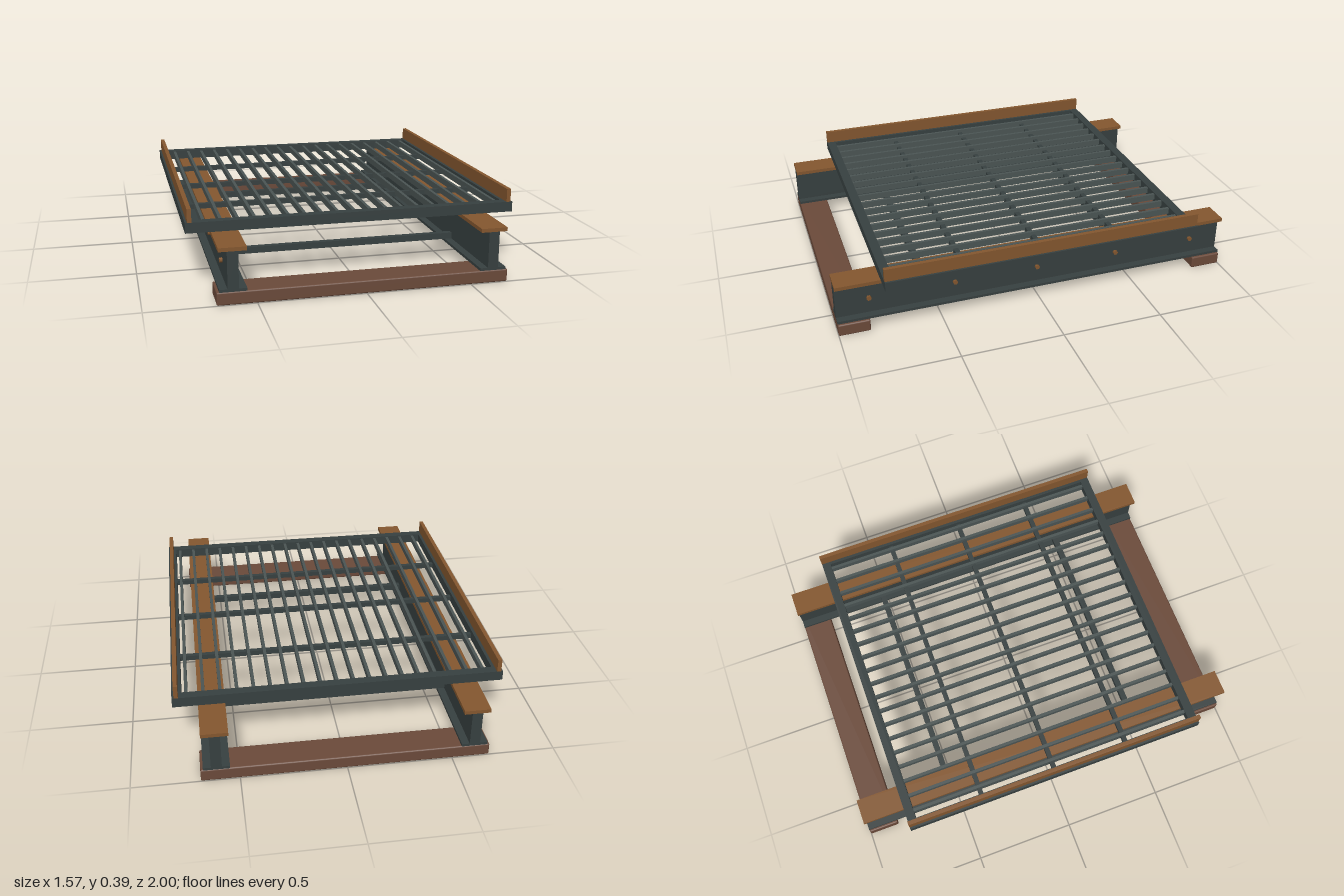
import * as THREE from 'three';
import { RoundedBoxGeometry } from 'three/addons/geometries/RoundedBoxGeometry.js';

const material = (name, color) => {
  const m = new THREE.MeshStandardMaterial({ color });
  m.name = name;
  return m;
};

export function createModel() {
  const steel = material('dark steel', 0x374040);
  const barSteel = material('worn bar steel', 0x4b5554);
  const rust = material('rust', 0x84572f);
  const wood = material('brown timber', 0x6b4a3a);

  const model = new THREE.Group();
  model.name = 'gratedPlatform';

  const add = (name, geometry, mat, x, y, z, parent = model) => {
    const mesh = new THREE.Mesh(geometry, mat);
    mesh.name = name;
    mesh.position.set(x, y, z);
    parent.add(mesh);
    return mesh;
  };
  // Box given by its x, y and z ranges
  const box = (name, mat, [x0, x1], [y0, y1], [z0, z1], parent) =>
    add(name, new THREE.BoxGeometry(x1 - x0, y1 - y0, z1 - z0), mat,
      (x0 + x1) / 2, (y0 + y1) / 2, (z0 + z1) / 2, parent);

  // Timber sleepers under both ends
  for (const s of [-1, 1])
    add('sleeper', new RoundedBoxGeometry(1.36, 0.061, 0.153, 2, 0.007), wood, 0, 0.0305, s * 0.9235);

  // Long girders with rusty top flange and bolts
  for (const s of [-1, 1]) {
    const girder = new THREE.Group();
    girder.name = s > 0 ? 'leftGirder' : 'rightGirder';
    girder.position.x = s * 0.606;
    model.add(girder);
    box('bottomFlange', steel, [-0.062, 0.062], [0.061, 0.074], [-1, 1], girder);
    box('web', steel, [-0.025, 0.025], [0.074, 0.246], [-1, 1], girder);
    box('topFlange', rust, [-0.063, 0.063], [0.246, 0.264], [-1, 1], girder);
    for (let i = -2; i <= 2; i++) {
      const bolt = add('bolt', new THREE.CylinderGeometry(0.012, 0.012, 0.016, 6), rust,
        s * 0.031, 0.156, i * 0.42, girder);
      bolt.rotation.z = Math.PI / 2;
    }
  }

  // Ties between the girders
  for (const s of [-1, 1])
    box('crossTie', steel, [-0.585, 0.585], [0.074, 0.105], [s * 0.525 - 0.015, s * 0.525 + 0.015]);

  // Deck frame
  const deck = new THREE.Group();
  deck.name = 'gratingDeck';
  model.add(deck);
  const frameY = [0.273, 0.322];
  box('frameFront', steel, [-0.787, 0.787], frameY, [0.742, 0.787], deck);
  box('frameBack', steel, [-0.787, 0.787], frameY, [-0.787, -0.742], deck);
  box('frameLeft', steel, [0.742, 0.787], frameY, [-0.742, 0.742], deck);
  box('frameRight', steel, [-0.787, -0.742], frameY, [-0.742, 0.742], deck);

  // Rusty curbs along the sides
  for (const s of [-1, 1])
    add('curb', new THREE.BoxGeometry(0.02, 0.064, 1.574), rust, s * 0.767, 0.354, 0, deck);

  // Grating bars and the supports beneath them
  for (let i = 0; i < 19; i++)
    add('gratingBar', new THREE.BoxGeometry(0.015, 0.032, 1.484), barSteel, -0.7 + i * 0.0789, 0.301, 0, deck);
  for (const z of [-0.395, 0, 0.395])
    add('gratingSupport', new THREE.BoxGeometry(1.484, 0.024, 0.024), steel, 0, 0.289, z, deck);

  return model;
}
